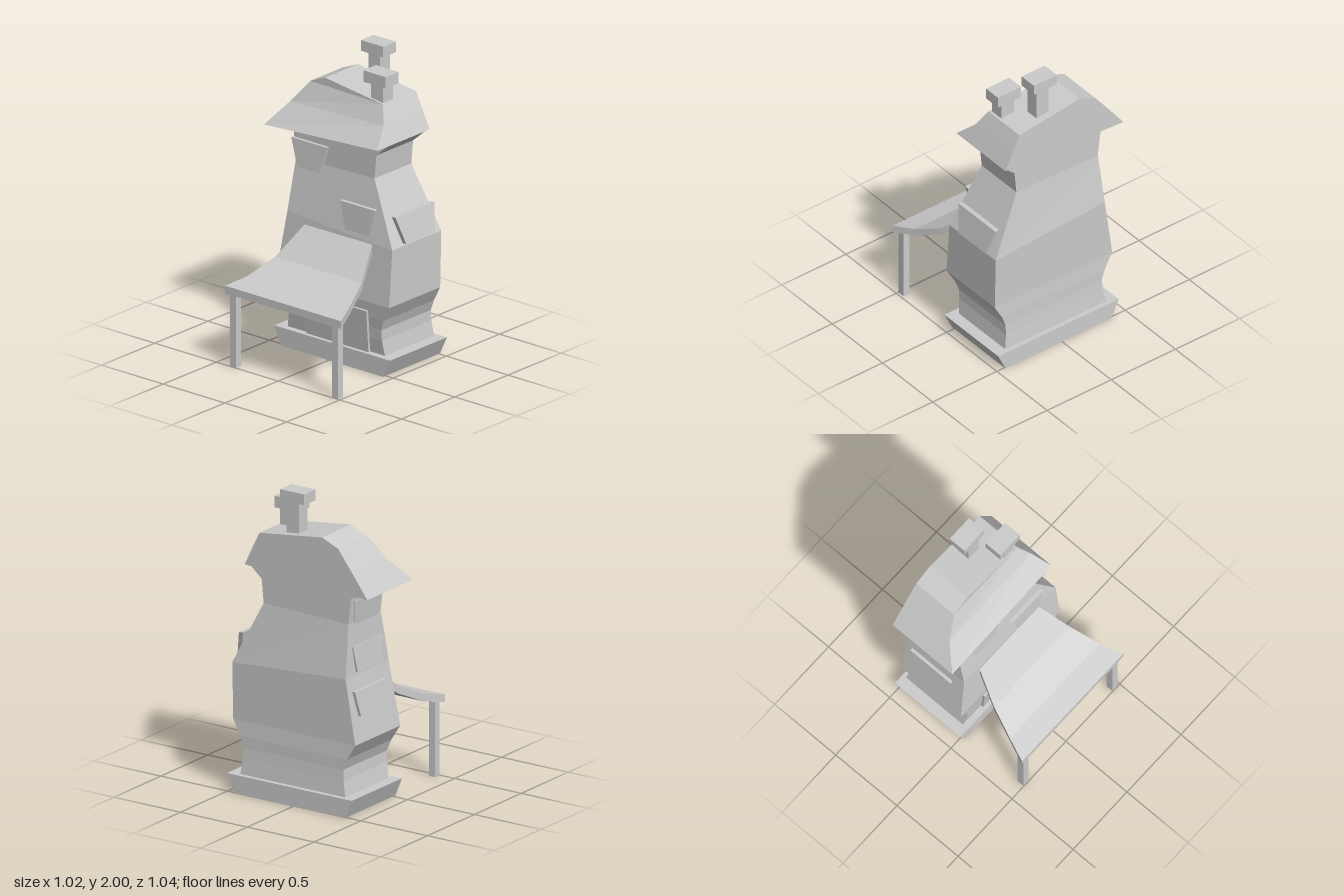
import * as THREE from 'three';

const mat = new THREE.MeshStandardMaterial({ color: 0xcccccc, flatShading: true });

// four corners, counter-clockwise from above; back edge may sit at another height
const ring = (xl, xr, zb, zf, yf, yb = yf) =>
  [[xl, yf, zf], [xr, yf, zf], [xr, yb, zb], [xl, yb, zb]];

// closed skin over a series of four-cornered rings
function loft(name, rings) {
  const pos = [];
  const quad = (a, b, c, d) => pos.push(...a, ...b, ...c, ...a, ...c, ...d);
  for (let r = 0; r < rings.length - 1; r++) {
    for (let i = 0; i < 4; i++) {
      const j = (i + 1) % 4;
      quad(rings[r][i], rings[r][j], rings[r + 1][j], rings[r + 1][i]);
    }
  }
  const first = rings[0], last = rings[rings.length - 1];
  quad(first[3], first[2], first[1], first[0]);
  quad(...last);
  const g = new THREE.BufferGeometry();
  g.setAttribute('position', new THREE.Float32BufferAttribute(pos, 3));
  g.computeVertexNormals();
  const m = new THREE.Mesh(g, mat);
  m.name = name;
  return m;
}

function box(name, x0, x1, y0, y1, z0, z1) {
  const m = new THREE.Mesh(new THREE.BoxGeometry(x1 - x0, y1 - y0, z1 - z0), mat);
  m.position.set((x0 + x1) / 2, (y0 + y1) / 2, (z0 + z1) / 2);
  m.name = name;
  return m;
}

export function createModel() {
  const house = new THREE.Group();
  house.name = 'crookedHouse';

  // plinth, flaring upward at front and back
  house.add(loft('plinth', [
    ring(-0.025, 0.51, -0.39, 0.44, 0),
    ring(-0.025, 0.51, -0.44, 0.497, 0.12),
  ]));

  // wavy walls: xl, xr, zb, zf, yf, yb
  house.add(loft('walls', [
    ring(0.02, 0.48, -0.37, 0.42, 0.11),
    ring(0.005, 0.47, -0.35, 0.405, 0.22),
    ring(0.0, 0.465, -0.345, 0.405, 0.29),
    ring(-0.01, 0.465, -0.37, 0.43, 0.36),
    ring(-0.02, 0.46, -0.43, 0.485, 0.46),
    ring(0.01, 0.47, -0.365, 0.485, 0.83, 0.88),
    ring(0.075, 0.42, -0.35, 0.285, 1.235, 1.22),
    ring(0.075, 0.42, -0.37, 0.30, 1.39),
    ring(0.075, 0.42, -0.43, 0.395, 1.472, 1.427),
  ]));

  // roof, hipped on one side, flat gable on the other, ending in a ridge
  house.add(loft('roof', [
    ring(-0.03, 0.458, -0.52, 0.40, 1.475, 1.42),
    ring(0.09, 0.458, -0.41, 0.345, 1.59, 1.567),
    ring(0.15, 0.458, -0.30, 0.29, 1.70, 1.71),
    ring(0.15, 0.458, -0.18, -0.18, 1.76),
  ]));

  // chimneys
  house.add(
    box('tallChimneyShaft', 0.32, 0.41, 1.70, 1.93, 0.025, 0.12),
    box('tallChimneyCap', 0.307, 0.428, 1.93, 2.0, -0.025, 0.155),
    box('shortChimneyShaft', 0.165, 0.26, 1.68, 1.81, 0.18, 0.275),
    box('shortChimneyCap', 0.15, 0.27, 1.81, 1.885, 0.13, 0.31),
  );

  // trapezoid windows, wider at the top
  house.add(loft('frontWindow', [
    ring(0.12, 0.39, 0.475, 0.503, 0.845),
    ring(0.07, 0.435, 0.43, 0.46, 1.02),
  ]));
  const backWindows = [
    // bottom y, top y, bottom z, top z, left x, right x
    [1.20, 1.36, -0.352, -0.372, 0.08, 0.38],
    [0.90, 1.065, -0.380, -0.363, 0.07, 0.39],
    [0.63, 0.79, -0.425, -0.400, 0.09, 0.42],
  ];
  for (const [y0, y1, z0, z1, xl, xr] of backWindows) {
    house.add(loft('backWindow', [
      ring(xl + 0.03, xr - 0.03, z0, z0 + 0.02, y0),
      ring(xl, xr, z1, z1 + 0.02, y1),
    ]));
  }
  house.add(loft('upperSideWindow', [
    ring(-0.008, 0.014, -0.27, -0.09, 1.20),
    ring(0.005, 0.026, -0.33, -0.04, 1.375),
  ]));
  house.add(loft('lowerSideWindow', [
    ring(-0.008, 0.018, 0.12, 0.31, 0.885),
    ring(0.0, 0.025, 0.07, 0.355, 1.06),
  ]));

  // side door under the canopy
  house.add(loft('door', [
    ring(0.0, 0.03, -0.2, 0.3, 0.12),
    ring(-0.032, 0.0, -0.22, 0.31, 0.40),
  ]));

  // sagging canopy: x, bottom y, top y, back z, front z
  const canopy = [
    [-0.512, 0.475, 0.525, -0.42, 0.52],
    [-0.365, 0.51, 0.56, -0.365, 0.462],
    [-0.178, 0.60, 0.65, -0.30, 0.40],
    [0.015, 0.77, 0.835, -0.22, 0.32],
  ];
  house.add(loft('canopy', canopy.map(([x, y0, y1, zb, zf]) =>
    [[x, y0, zf], [x, y0, zb], [x, y1, zb], [x, y1, zf]])));

  // canopy posts
  for (const z of [-0.39, 0.435]) {
    house.add(box('canopyPost', -0.498, -0.45, 0, 0.485, z, z + 0.048));
  }
  return house;
}
